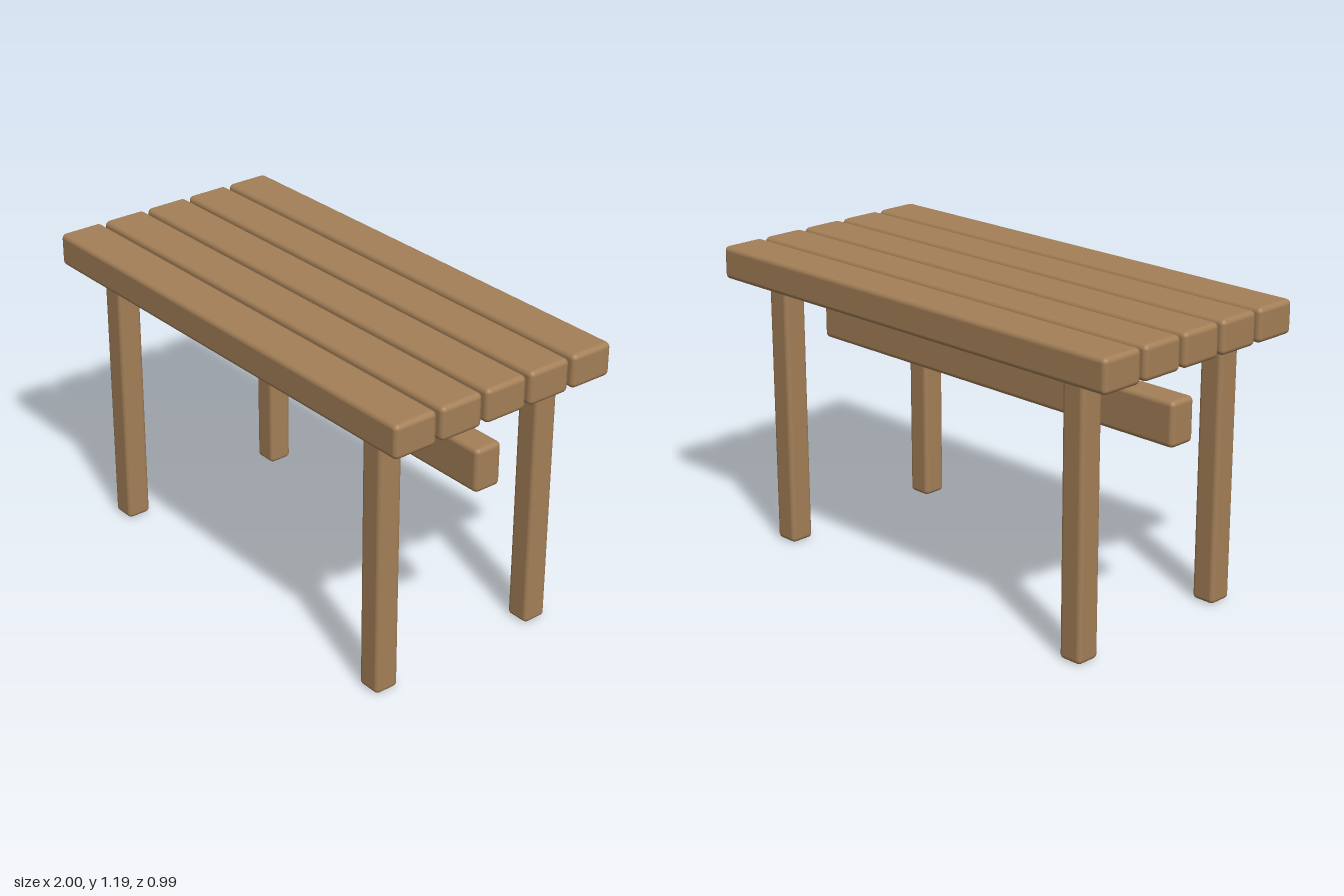
import * as THREE from 'three';
import { RoundedBoxGeometry } from 'three/addons/geometries/RoundedBoxGeometry.js';

export function createModel() {
  const table = new THREE.Group();
  table.name = 'slattedTable';
  const wood = new THREE.MeshStandardMaterial({ color: 0xa37f57 });
  wood.name = 'wood';

  // One timber with softly rounded edges
  function timber(name, size, position, radius) {
    const mesh = new THREE.Mesh(new RoundedBoxGeometry(...size, 3, radius), wood);
    mesh.name = name;
    mesh.position.set(...position);
    table.add(mesh);
  }

  // Five top planks running lengthwise
  for (let i = -2; i <= 2; i++) {
    timber('topPlank', [2, 0.131, 0.182], [0, 1.129, i * 0.2015], 0.02);
  }

  // Four square legs
  for (const [side, x] of [['left', 0.78], ['right', -0.78]]) {
    for (const [end, z] of [['Front', 0.364], ['Back', -0.364]]) {
      timber(side + end + 'Leg', [0.1, 1.06, 0.1], [x, 0.53, z], 0.018);
    }
  }

  // Central rail beneath the top
  timber('centreRail', [1.85, 0.174, 0.116], [0, 0.832, 0], 0.02);

  return table;
}
